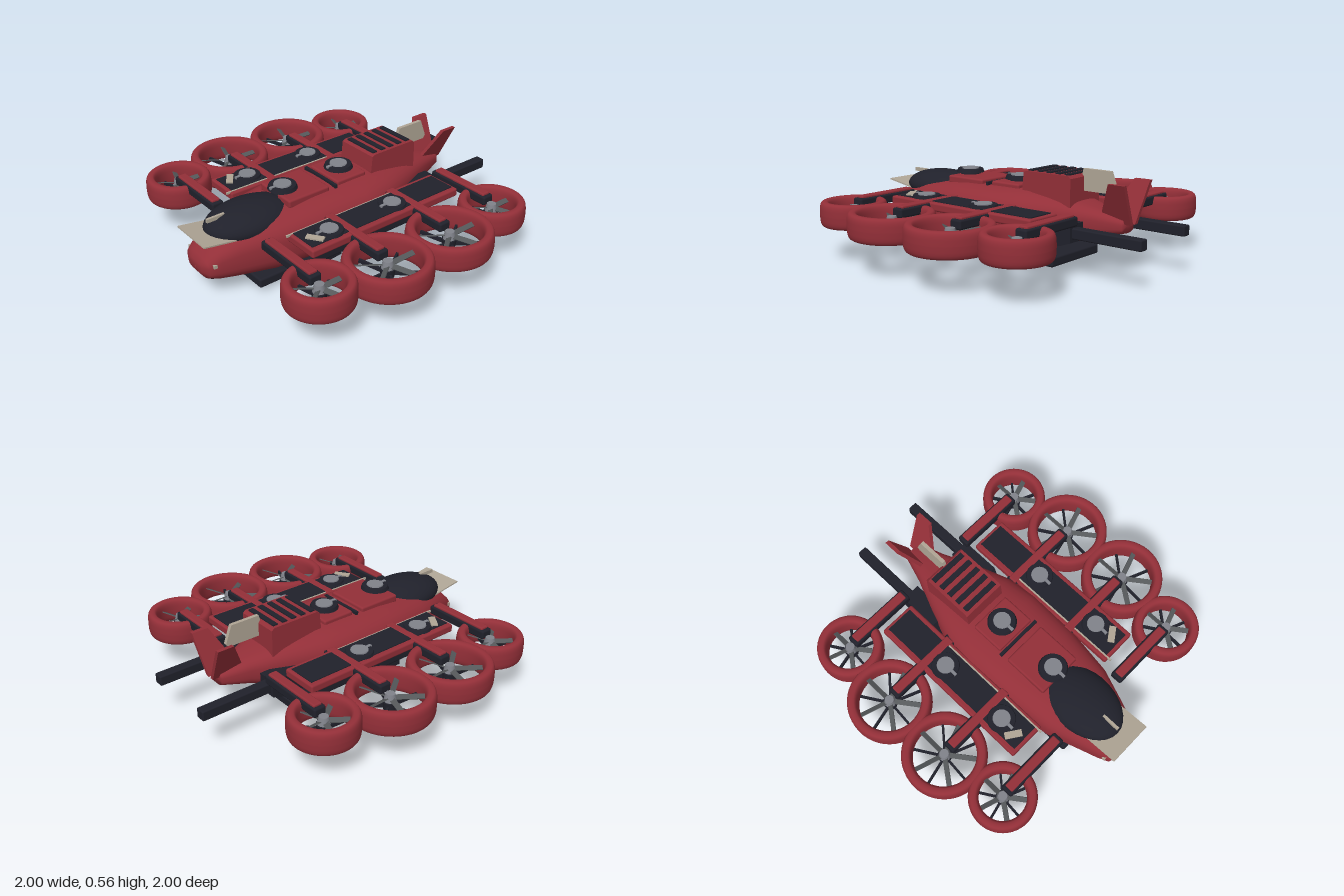
import * as THREE from 'three';
import { RoundedBoxGeometry } from 'three/addons/geometries/RoundedBoxGeometry.js';

const paint = (name, color, side = THREE.FrontSide) => {
  const m = new THREE.MeshStandardMaterial({ color, side });
  m.name = name;
  return m;
};

export function createModel() {
  const root = new THREE.Group();
  root.name = 'multiRotorGunship';
  const red = paint('hullRed', 0x932f38);
  const dark = paint('darkPanel', 0x20212b);
  const cream = paint('cream', 0xafa595);
  const grey = paint('metalGrey', 0x80828a);
  const blade = paint('bladeGrey', 0x55585a);

  const add = (name, geo, mat, x = 0, y = 0, z = 0, parent = root) => {
    const m = new THREE.Mesh(geo, mat);
    m.name = name;
    m.position.set(x, y, z);
    parent.add(m);
    return m;
  };
  const box = (name, mat, w, h, d, x, y, z, parent) =>
    add(name, new THREE.BoxGeometry(w, h, d), mat, x, y, z, parent);
  const rbox = (name, mat, w, h, d, x, y, z, r = 0.012) =>
    add(name, new RoundedBoxGeometry(w, h, d, 2, r), mat, x, y, z);
  // Side profile of [z, y] points, extruded across x
  const slab = (name, mat, pts, width, x = 0) => {
    const s = new THREE.Shape(pts.map(p => new THREE.Vector2(p[0], p[1])));
    const g = new THREE.ExtrudeGeometry(s, { depth: width, bevelEnabled: false });
    g.rotateY(-Math.PI / 2).translate(width / 2, 0, 0);
    return add(name, g, mat, x);
  };

  // Hull stations: z, half width, bottom, top
  const stations = [
    [0.985, 0.07, 0.155, 0.22], [0.965, 0.115, 0.125, 0.25], [0.9, 0.145, 0.1, 0.31],
    [0.8, 0.18, 0.085, 0.355], [0.6, 0.25, 0.07, 0.4], [0.3, 0.29, 0.065, 0.425],
    [0, 0.3, 0.065, 0.43], [-0.18, 0.275, 0.085, 0.43], [-0.4, 0.195, 0.135, 0.405],
    [-0.6, 0.11, 0.2, 0.36], [-0.76, 0.06, 0.24, 0.32]];
  add('hull', loft(stations, 36), red);

  // Cockpit and nose
  const canopy = add('canopy', new THREE.SphereGeometry(1, 32, 20), dark, 0, 0.35, 0.63);
  canopy.scale.set(0.18, 0.1, 0.275);
  const visor = box('nosePlate', cream, 0.275, 0.008, 0.25, 0, 0.345, 0.873);
  visor.rotation.x = -0.16;
  box('canopyRib', cream, 0.016, 0.022, 0.11, 0, 0.425, 0.84);
  add('chinSensor', new THREE.SphereGeometry(0.06, 20, 14), dark, 0, 0.12, 0.88);
  add('noseBall', new THREE.SphereGeometry(0.032, 16, 12), red, 0, 0.175, 0.955);

  // Dorsal panels
  rbox('forwardPanel', red, 0.28, 0.05, 0.28, 0, 0.422, 0.315);
  rbox('middlePanel', red, 0.26, 0.04, 0.21, 0, 0.428, 0.005);
  box('panelGap', dark, 0.29, 0.024, 0.018, 0, 0.428, 0.13);

  // Engine intake with slats
  slab('engineHousing', red, [[-0.135, 0.43], [-0.145, 0.525], [-0.165, 0.535],
    [-0.46, 0.535], [-0.475, 0.52], [-0.475, 0.36], [-0.135, 0.38]], 0.275);
  for (let i = 0; i < 5; i++)
    box('engineSlat', dark, 0.235, 0.009, 0.032, 0, 0.538, -0.18 - i * 0.064);

  // Tail surfaces
  slab('dorsalFin', cream, [[-0.44, 0.44], [-0.47, 0.565], [-0.65, 0.565], [-0.69, 0.46],
    [-0.675, 0.44]], 0.022);
  for (const s of [-1, 1]) {
    const fin = slab('tailFin', red, [[-0.6, 0.29], [-0.72, 0.52], [-0.82, 0.52], [-0.8, 0.29]], 0.024);
    const p = fin.geometry.attributes.position;
    for (let i = 0; i < p.count; i++)
      p.setX(i, p.getX(i) + s * (0.02 + (p.getY(i) - 0.29) * 0.47));
    fin.geometry.computeVertexNormals();
  }

  // Belly pallet
  rbox('bellyPallet', dark, 0.44, 0.057, 1.14, 0, 0.058, 0.15);

  // Turret disc with a grey hatch
  const turret = (x, y, z) => {
    const g = new THREE.Group();
    g.name = 'turret';
    g.position.set(x, y, z);
    root.add(g);
    add('turretBase', new THREE.CylinderGeometry(0.06, 0.065, 0.04, 28), dark, 0, -0.025, 0, g);
    add('turretRim', new THREE.CylinderGeometry(0.078, 0.086, 0.022, 28), dark, 0, 0.003, 0, g);
    add('turretHatch', new THREE.CylinderGeometry(0.05, 0.052, 0.008, 24), grey, 0, 0.017, 0, g);
    box('turretBarrel', grey, 0.018, 0.012, 0.06, 0, 0.012, 0.055, g);
  };
  turret(0, 0.465, 0.4);
  turret(0, 0.465, 0.0);

  // Ducted fan: rounded ring, grey blades, dark stators
  const fan = (x, z, r, width) => {
    const g = new THREE.Group();
    g.name = 'ductedFan';
    g.position.set(x, 0.272, z);
    root.add(g);
    const prof = [];
    for (let i = 0; i <= 24; i++) {
      const a = -i / 24 * Math.PI * 2, c = Math.cos(a), q = Math.sin(a);
      prof.push(new THREE.Vector2(r - width / 2 + Math.sign(c) * Math.abs(c) ** 0.65 * width / 2,
        Math.sign(q) * Math.abs(q) ** 0.65 * 0.073));
    }
    add('ductRing', new THREE.LatheGeometry(prof.reverse(), 48), red, 0, 0, 0, g);
    const len = r - width * 0.7;
    add('fanHub', new THREE.CylinderGeometry(0.026, 0.036, 0.045, 16), grey, 0, 0.02, 0, g);
    add('motor', new THREE.CylinderGeometry(0.042, 0.036, 0.05, 16), dark, 0, -0.03, 0, g);
    for (let i = 0; i < 5; i++) {
      const a = i / 5 * Math.PI * 2 + Math.PI / 2;
      const arm = new THREE.Group();
      arm.name = 'fanSpoke';
      arm.rotation.y = a;
      g.add(arm);
      const b = box('fanBlade', blade, len, 0.006, 0.03, len / 2, 0.015, 0, arm);
      b.rotation.x = 0.5;
      const st = new THREE.Group();
      st.name = 'statorMount';
      st.rotation.y = a + 0.55;
      g.add(st);
      box('stator', dark, len, 0.022, 0.013, len / 2, -0.035, 0, st);
    }
  };

  for (const s of [-1, 1]) {
    // Side decks
    rbox('sideDeck', red, 0.23, 0.05, 1.06, s * 0.385, 0.331, 0.04);
    box('deckPanel', dark, 0.17, 0.008, 1.02, s * 0.385, 0.357, 0.04);
    box('deckTrim', cream, 0.01, 0.012, 0.78, s * 0.295, 0.352, 0.2);
    turret(s * 0.395, 0.358, -0.07);
    turret(s * 0.395, 0.358, 0.38);
    const bar = box('deckMarker', cream, 0.1, 0.009, 0.04, s * 0.415, 0.366, 0.49);
    bar.rotation.y = s * 0.6;

    // Fan arms and fans
    for (const [z, big] of [[-0.57, 0], [-0.17, 1], [0.28, 1], [0.68, 0]]) {
      const end = big ? 0.7 : 0.65, mid = (0.26 + end) / 2;
      rbox('armBeam', dark, end - 0.22, 0.055, 0.075, s * mid, 0.323, z);
      rbox('armCap', red, end - 0.26, 0.024, 0.054, s * mid, 0.351, z, 0.008);
      if (big) fan(s * 0.755, z, 0.245, 0.062);
      else fan(s * 0.695, z, 0.195, 0.06);
    }

    // Rear booms and their housings
    slab('boomHousing', dark, [[-0.57, 0.2], [-0.57, 0.3], [-0.32, 0.3], [-0.28, 0.18],
      [-0.5, 0.175]], 0.115, s * 0.205);
    rbox('rearBoom', dark, 0.06, 0.06, 0.46, s * 0.215, 0.25, -0.77, 0.008);

    // Belly skids and nose lamps
    slab('skid', dark, [[0.43, 0.04], [0.43, 0], [0.15, 0.018], [0.15, 0.04]], 0.07, s * 0.18);
    box('noseLamp', cream, 0.052, 0.02, 0.02, s * 0.11, 0.22, 0.935);
  }
  return root;
}

// Superellipse sections joined along z, with closed ends
function loft(stations, n) {
  const pos = [], idx = [];
  for (const [z, w, lo, hi] of stations)
    for (let j = 0; j < n; j++) {
      const a = j / n * Math.PI * 2, c = Math.cos(a), q = Math.sin(a);
      const e = 2 / 2.9;
      pos.push(Math.sign(c) * Math.abs(c) ** e * w,
        (lo + hi) / 2 + Math.sign(q) * Math.abs(q) ** e * (hi - lo) / 2, z);
    }
  for (let i = 0; i < stations.length - 1; i++)
    for (let j = 0; j < n; j++) {
      const a = i * n + j, b = i * n + (j + 1) % n;
      idx.push(a, a + n, b, b, a + n, b + n);
    }
  const last = (stations.length - 1) * n;
  for (const [base, front] of [[0, true], [last, false]]) {
    const [z, , lo, hi] = stations[base / n];
    const c = pos.length / 3;
    pos.push(0, (lo + hi) / 2, z);
    for (let j = 0; j < n; j++) {
      const a = base + j, b = base + (j + 1) % n;
      if (front) idx.push(c, a, b); else idx.push(c, b, a);
    }
  }
  const g = new THREE.BufferGeometry();
  g.setAttribute('position', new THREE.Float32BufferAttribute(pos, 3));
  g.setIndex(idx);
  g.computeVertexNormals();
  return g;
}
